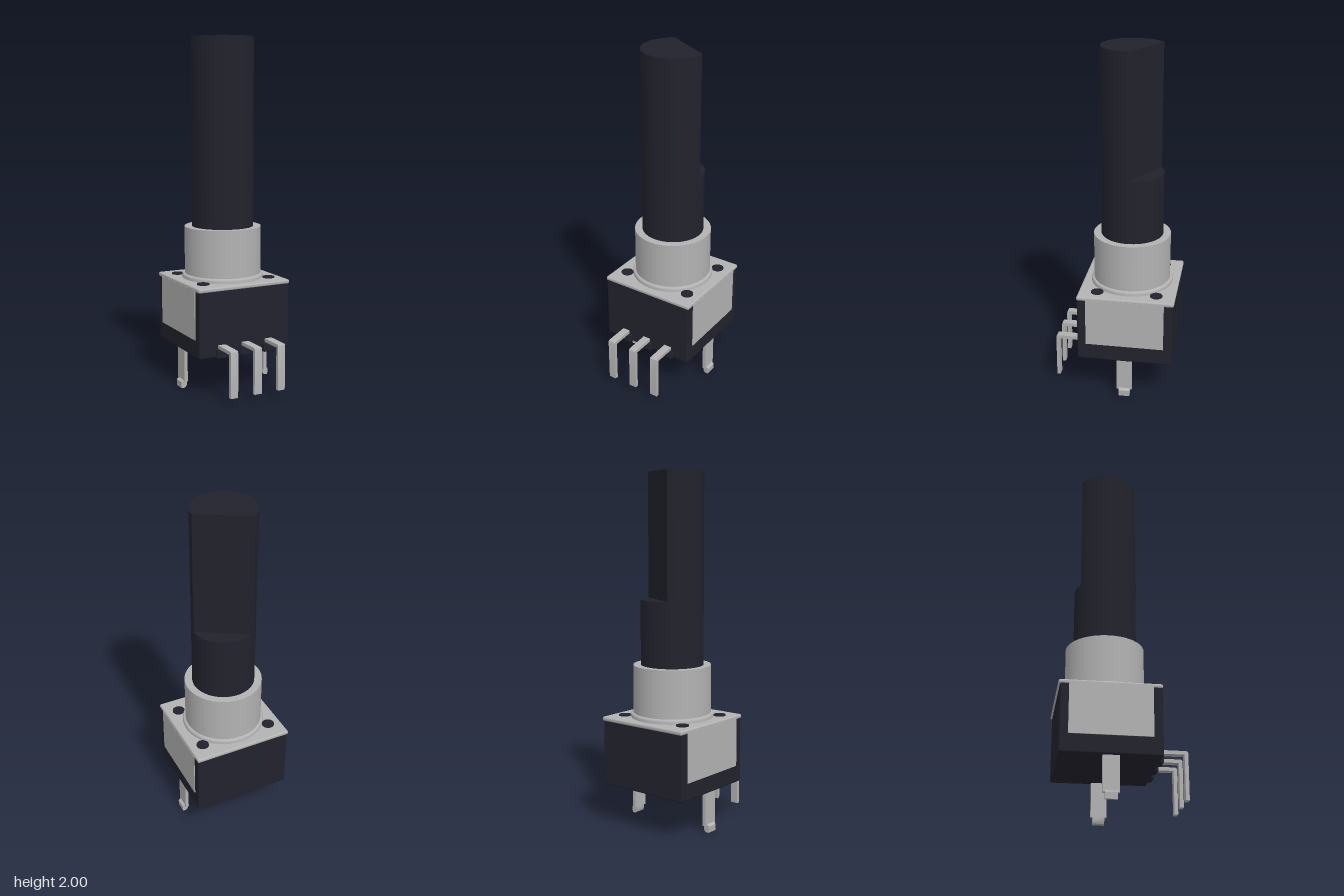
import * as THREE from 'three';
import { toCreasedNormals } from 'three/addons/utils/BufferGeometryUtils.js';
import { RoundedBoxGeometry } from 'three/addons/geometries/RoundedBoxGeometry.js';

const AXIS_Z = -0.075; // shaft axis, behind the centre

export function createModel() {
  const model = new THREE.Group();
  model.name = 'rotaryControl';
  const metal = new THREE.MeshStandardMaterial({ name: 'grey metal', color: 0xb2b2b2 });
  const plastic = new THREE.MeshStandardMaterial({ name: 'dark plastic', color: 0x22222d });

  const add = (name, geometry, material, x = 0, y = 0, z = 0) => {
    const mesh = new THREE.Mesh(geometry, material);
    mesh.name = name;
    mesh.position.set(x, y, z);
    model.add(mesh);
    return mesh;
  };
  // box given by its low and high limits on each axis
  const box = (name, material, [x0, x1], [y0, y1], [z0, z1], radius = 0) => {
    const size = [x1 - x0, y1 - y0, z1 - z0];
    const geometry = radius ? new RoundedBoxGeometry(...size, 3, radius) : new THREE.BoxGeometry(...size);
    return add(name, geometry, material, (x0 + x1) / 2, (y0 + y1) / 2, (z0 + z1) / 2);
  };
  const cylinder = (name, material, r, y0, y1, x = 0, z = AXIS_Z) =>
    add(name, new THREE.CylinderGeometry(r, r, y1 - y0, 64), material, x, (y0 + y1) / 2, z);
  // side profile extruded to a centred width
  const strip = (points, width) => {
    const shape = new THREE.Shape(points.map(([x, y]) => new THREE.Vector2(x, y)));
    const geometry = new THREE.ExtrudeGeometry(shape, { depth: width, bevelEnabled: false });
    return toCreasedNormals(geometry.translate(0, 0, -width / 2), 0.6);
  };

  // housing and sheet metal cover
  box('housing', plastic, [-0.285, 0.285], [0.235, 0.615], [-0.342, 0.2], 0.01);
  box('topPlate', metal, [-0.288, 0.288], [0.606, 0.631], [-0.35, 0.202], 0.01);
  for (const s of [-1, 1]) {
    box('sidePlate', metal, [s * 0.2865 - 0.003, s * 0.2865 + 0.003], [0.335, 0.615], [-0.295, 0.15]);
    for (const z of [-0.243, 0.094]) cylinder('rivet', plastic, 0.035, 0.62, 0.637, s * 0.21, z);
  }

  // bushing with a raised collar at its foot
  const collar = [[0.235, 0.625], [0.235, 0.645], [0.232, 0.652], [0.225, 0.656], [0.218, 0.656]];
  add('collar', toCreasedNormals(new THREE.LatheGeometry(collar.map(([r, y]) => new THREE.Vector2(r, y)), 64), 0.7),
    metal, 0, 0, AXIS_Z);
  cylinder('bushing', metal, 0.22, 0.62, 0.927);

  // round shaft, then its upper length with one flat
  const R = 0.177;
  cylinder('shaft', plastic, R, 0.9, 1.295);
  const flatAngle = Math.PI / 3;
  const half = Math.acos(0.086 / R);
  const section = new THREE.Shape();
  section.absarc(0, 0, R, flatAngle + half, flatAngle - half + 2 * Math.PI, false);
  const flatShaft = new THREE.ExtrudeGeometry(section, { depth: 0.705, bevelEnabled: false, curveSegments: 56 });
  flatShaft.rotateX(-Math.PI / 2);
  add('flattedShaft', toCreasedNormals(flatShaft, 0.5), plastic, 0, 1.295, AXIS_Z);

  // three bent terminals and the blocks that hold them
  const pin = [[0.15, 0.305], [0.15, 0.285], [0.33, 0.285], [0.33, 0.042], [0.35, 0.042],
    [0.35, 0.294], [0.347, 0.302], [0.339, 0.305]];
  for (const x of [-0.148, 0, 0.148]) {
    const mesh = add('terminal', strip(pin, 0.045), metal, x);
    mesh.rotation.y = -Math.PI / 2;
    box('terminalBlock', plastic, [x - 0.038, x + 0.038], [0.23, 0.286], [0.18, 0.217], 0.008);
  }

  // mounting lugs with narrower hooked feet
  const leg = [[0.251, 0.3], [0.251, 0.042], [0.271, 0.042], [0.271, 0.3]];
  const foot = [[0.251, 0.05], [0.251, 0.022], [0.258, 0.008], [0.268, 0.004], [0.284, 0.004],
    [0.286, 0.04], [0.278, 0.046], [0.271, 0.05]];
  for (const turn of [0, Math.PI]) {
    add('mountingLug', strip(leg, 0.088), metal, 0, 0, -0.071).rotation.y = turn;
    add('lugFoot', strip(foot, 0.064), metal, 0, 0, -0.071).rotation.y = turn;
  }
  return model;
}
